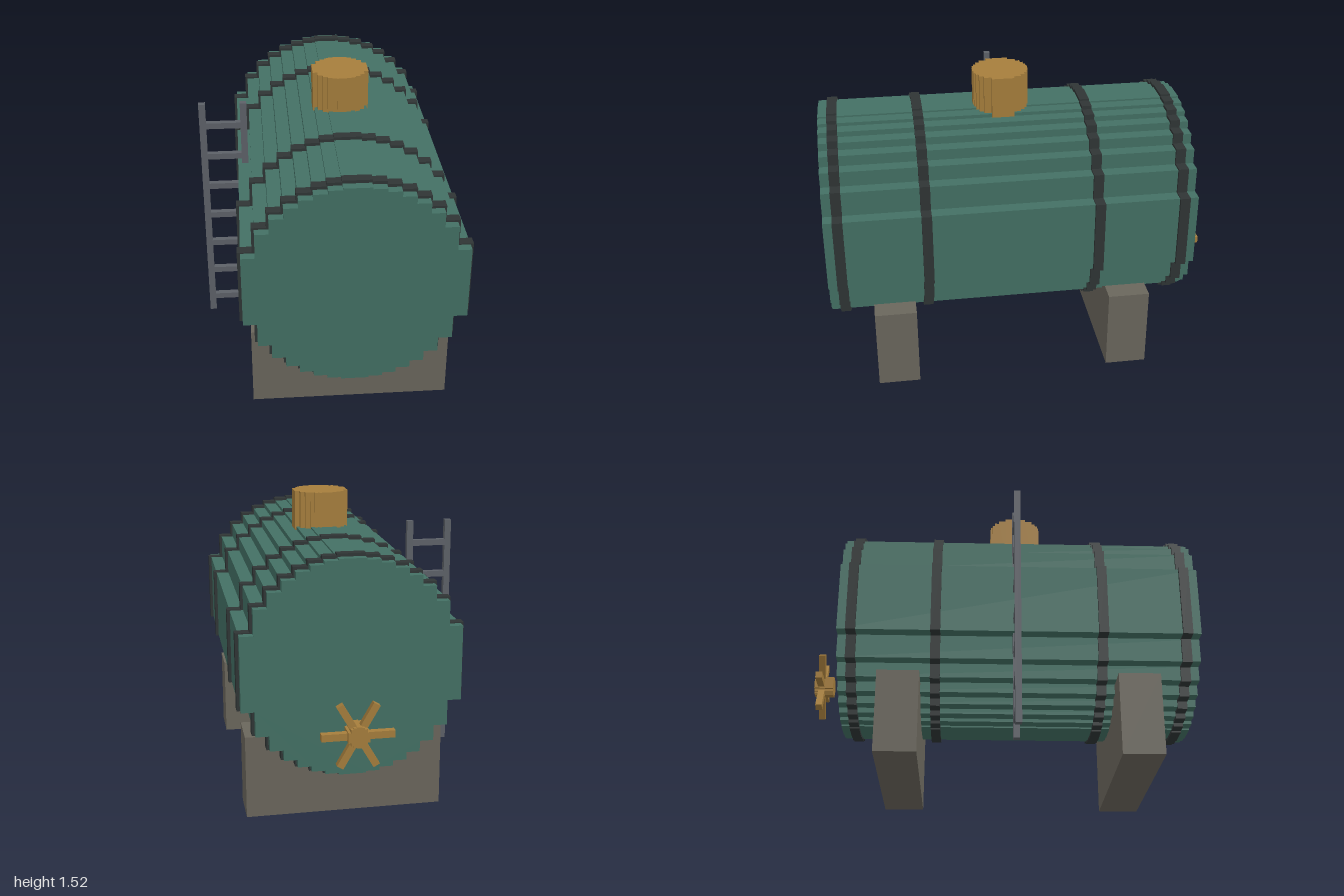
import * as THREE from 'three';

const material = (name, color) => {
  const m = new THREE.MeshStandardMaterial({ color });
  m.name = name;
  return m;
};

// Disc outline approximated by equal-width columns, each as tall as the circle at its middle
function steppedCircle(r, n) {
  const w = (2 * r) / n, top = [], bottom = [];
  for (let i = 0; i < n; i++) {
    const x = -r + i * w, c = x + w / 2;
    const h = Math.sqrt(r * r - c * c);
    top.push(new THREE.Vector2(x, h), new THREE.Vector2(x + w, h));
    bottom.push(new THREE.Vector2(x, -h), new THREE.Vector2(x + w, -h));
  }
  return new THREE.Shape([...bottom, ...top.reverse()]);
}

// Stepped cylinder along z, centred on the origin
function steppedCylinder(r, length, n) {
  const g = new THREE.ExtrudeGeometry(steppedCircle(r, n), { depth: length, bevelEnabled: false });
  return g.translate(0, 0, -length / 2);
}

export function createModel() {
  const model = new THREE.Group();
  model.name = 'storageTank';
  const green = material('tank green', 0x437064);
  const black = material('band black', 0x2f3535);
  const brass = material('brass', 0xa67e3c);
  const stone = material('saddle stone', 0x6a665c);
  const steel = material('ladder steel', 0x5d6168);

  const add = (parent, name, geometry, mat, x, y, z) => {
    const mesh = new THREE.Mesh(geometry, mat);
    mesh.name = name;
    mesh.position.set(x, y, z);
    parent.add(mesh);
    return mesh;
  };
  const cx = 0.085, cy = 0.815, cz = 0.08;

  // Tank body and its four bands
  add(model, 'tankBody', steppedCylinder(0.53, 1.84, 16), green, cx, cy, cz);
  const bandGeometry = steppedCylinder(0.545, 0.05, 16);
  for (const dz of [-0.85, -0.425, 0.425, 0.85])
    add(model, 'band', bandGeometry, black, cx, cy, cz + dz);

  // Dome on top
  const dome = steppedCylinder(0.14, 0.225, 12).rotateX(-Math.PI / 2);
  add(model, 'dome', dome, brass, cx, 1.4125, cz);

  // Support saddles
  for (const dz of [-0.603, 0.603])
    add(model, 'saddle', new THREE.BoxGeometry(0.99, 0.425, 0.212), stone, cx, 0.2125, cz - 0.003 + dz);

  // Ladder on the right side
  const ladder = new THREE.Group();
  ladder.name = 'ladder';
  model.add(ladder);
  for (const x of [-0.619, -0.408])
    add(ladder, 'ladderRail', new THREE.BoxGeometry(0.034, 1.27, 0.032), steel, x, 0.707, 0.062);
  for (let i = 0; i < 7; i++)
    add(ladder, 'ladderRung', new THREE.BoxGeometry(0.2, 0.032, 0.03), steel, -0.5135, 0.16 + i * 0.1765, 0.062);

  // Valve wheel behind the tank: hub and six spokes
  const valve = new THREE.Group();
  valve.name = 'valveWheel';
  valve.position.set(cx, 0.533, -0.95);
  model.add(valve);
  add(valve, 'valveHub', steppedCylinder(0.052, 0.1, 8), brass, 0, 0, 0);
  for (let i = 0; i < 3; i++) {
    const bar = add(valve, 'valveSpoke', new THREE.BoxGeometry(0.35, 0.035, 0.034), brass, 0, 0, -0.013);
    bar.rotation.z = (i * Math.PI) / 3;
  }
  return model;
}
